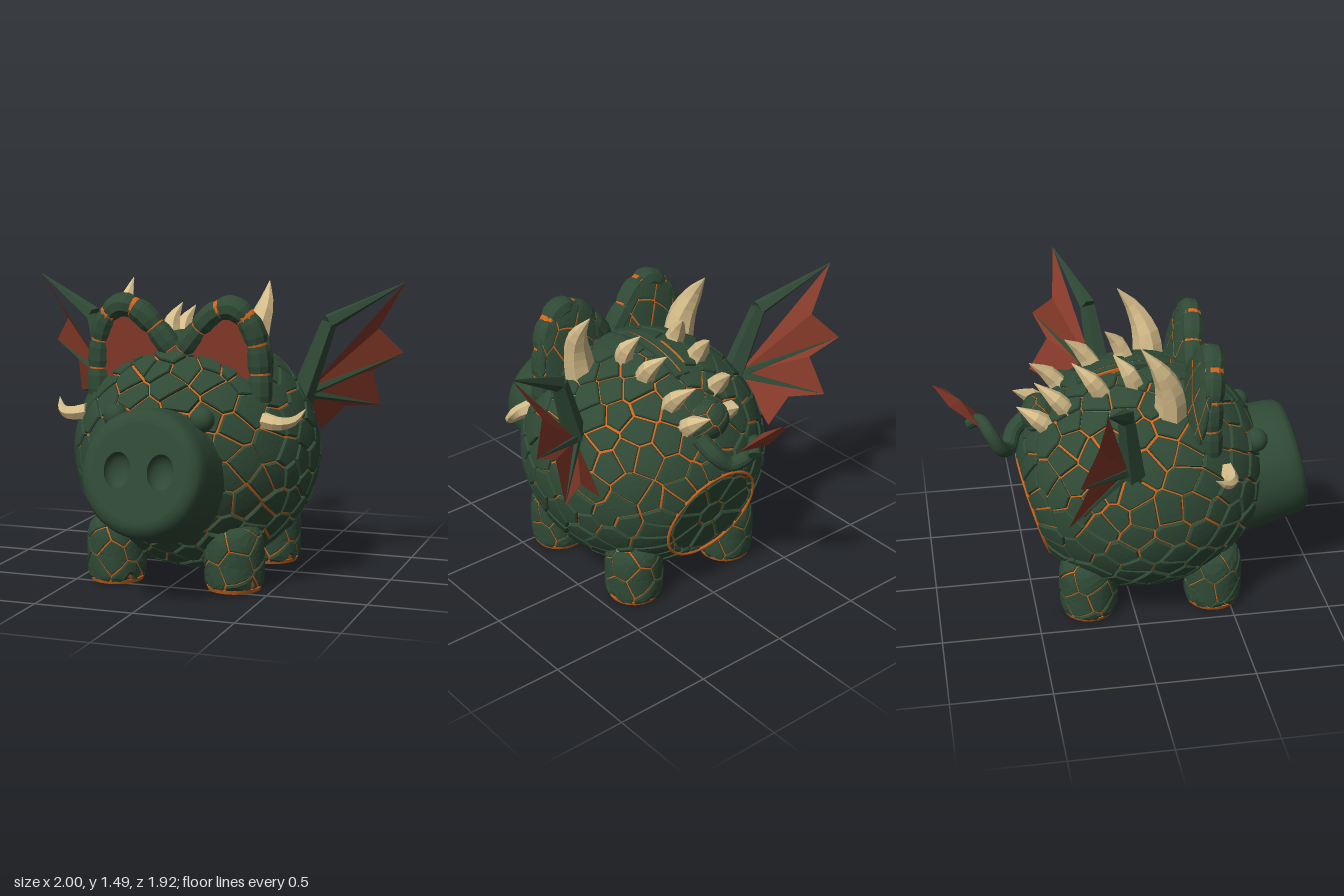
import * as THREE from 'three';
import { ConvexGeometry } from 'three/addons/geometries/ConvexGeometry.js';

const mat = (name, color, side = THREE.FrontSide) => Object.assign(new THREE.MeshStandardMaterial({ color, side }), { name });
const V = (x, y, z) => new THREE.Vector3(x, y, z);
let seed = 7;
const rand = () => (seed = (seed * 16807) % 2147483647) / 2147483647;

// Flat-shaded geometry from a list of triangle corners
function triGeometry(points) {
  const g = new THREE.BufferGeometry().setFromPoints(points);
  g.computeVertexNormals();
  return g;
}

// Tapered, capped sweep along a smooth path
function sweep(path, radii, sides = 7, steps = 8) {
  const curve = new THREE.CatmullRomCurve3(path);
  const f = curve.computeFrenetFrames(steps), rings = [], out = [];
  for (let i = 0; i <= steps; i++) {
    const c = curve.getPointAt(i / steps), t = (i / steps) * (radii.length - 1);
    const k = Math.min(Math.floor(t), radii.length - 2);
    const r = THREE.MathUtils.lerp(radii[k], radii[k + 1], t - k);
    rings.push(Array.from({ length: sides }, (_, j) => {
      const a = (j / sides) * Math.PI * 2;
      return c.clone().addScaledVector(f.normals[i], r * Math.cos(a)).addScaledVector(f.binormals[i], r * Math.sin(a));
    }));
  }
  const first = curve.getPoint(0), last = curve.getPoint(1);
  for (let j = 0; j < sides; j++) {
    const n = (j + 1) % sides;
    for (let i = 0; i < steps; i++) {
      const a = rings[i], b = rings[i + 1];
      out.push(a[j], a[n], b[n], a[j], b[n], b[j]);
    }
    out.push(first, rings[0][n], rings[0][j], last, rings[steps][j], rings[steps][n]);
  }
  return triGeometry(out);
}

// Evenly spread, jittered directions
function directions(n, jitter) {
  return Array.from({ length: n }, (_, i) => {
    const y = 1 - (2 * i + 1) / n, r = Math.sqrt(1 - y * y), a = i * 2.39996;
    const j = () => (rand() - 0.5) * jitter;
    return V(r * Math.cos(a) + j(), y + j(), r * Math.sin(a) + j()).normalize();
  });
}

// Cracked cells around a star-shaped surface, each a raised bevelled plate
function plates(seeds, surf, height, gap) {
  const out = [];
  for (const p of seeds) {
    const e1 = V(0, 1, 0).cross(p);
    if (e1.length() < 0.01) e1.set(1, 0, 0);
    e1.normalize();
    const e2 = p.clone().cross(e1), g = gap * (0.45 + rand() * 0.8), h = height * (0.75 + rand() * 0.5);
    let poly = [[-1.5, -1.5], [1.5, -1.5], [1.5, 1.5], [-1.5, 1.5]];
    for (const q of seeds) {
      if (q === p || q.dot(p) < -0.5) continue;
      const d = p.clone().sub(q), len = d.length();
      const side = ([u, v]) => d.dot(p) + u * d.dot(e1) + v * d.dot(e2) - g * len;
      const next = [];
      poly.forEach((a, i) => {
        const b = poly[(i + 1) % poly.length], sa = side(a), sb = side(b);
        if (sa >= 0) next.push(a);
        if (sa * sb < 0) next.push([0, 1].map(k => a[k] + (b[k] - a[k]) * sa / (sa - sb)));
      });
      poly = next;
    }
    if (poly.length < 3) continue;
    const c = [0, 1].map(k => poly.reduce((s, a) => s + a[k], 0) / poly.length), edge = [];
    poly.forEach((a, i) => {
      const b = poly[(i + 1) % poly.length];
      for (let t = 0; t < 3; t++) edge.push([0, 1].map(k => a[k] + (b[k] - a[k]) * t / 3));
    });
    const at = (e, s, lift) => surf(p.clone()
      .addScaledVector(e1, c[0] + (e[0] - c[0]) * s)
      .addScaledVector(e2, c[1] + (e[1] - c[1]) * s).normalize()).multiplyScalar(1 + lift);
    const rings = [[0.5, h], [0.9, h], [0.98, h * 0.65], [1, -0.005]].map(([s, l]) => edge.map(e => at(e, s, l)));
    const mid = at(c, 0, h);
    edge.forEach((_, j) => {
      const n = (j + 1) % edge.length;
      out.push(mid, rings[0][j], rings[0][n]);
      for (let i = 0; i < 3; i++) {
        const a = rings[i], b = rings[i + 1];
        out.push(a[j], b[j], b[n], a[j], b[n], a[n]);
      }
    });
  }
  return triGeometry(out);
}

function core(surf) {
  const g = new THREE.IcosahedronGeometry(1, 14), p = g.attributes.position;
  for (let i = 0; i < p.count; i++) {
    const v = surf(V().fromBufferAttribute(p, i).normalize());
    p.setXYZ(i, v.x, v.y, v.z);
  }
  g.computeVertexNormals();
  return g;
}

export function createModel() {
  const model = new THREE.Group();
  const green = mat('scale green', 0x304a36), glow = mat('ember orange', 0xd0651c), bone = mat('horn tan', 0xd6bd8a);
  const red = mat('membrane red', 0x863a29, THREE.DoubleSide);
  const greenOpen = mat('snout green', 0x304a36, THREE.DoubleSide);
  const add = (name, geo, m, parent = model) => {
    const mesh = new THREE.Mesh(geo, m);
    mesh.name = name;
    parent.add(mesh);
    return mesh;
  };
  const shell = (name, centre, seeds, surf, height, gap) => {
    const g = new THREE.Group();
    g.name = name;
    g.position.copy(centre);
    add(name + 'Embers', core(surf), glow, g);
    add(name + 'Scales', plates(seeds, surf, height, gap), green, g);
    model.add(g);
    return g;
  };

  // Round body, fuller at the face, with a flat disc on the lower rump
  const rump = V(0, -0.29, -0.957).normalize();
  const bodySurf = d => {
    const p = V(d.x * 0.61, d.y * 0.59, d.z * (d.z > 0 ? 0.65 : 0.61)), t = p.dot(rump);
    if (p.z > 0.6) p.multiplyScalar(0.6 / p.z);
    return t > 0.55 ? p.multiplyScalar(0.55 / t) : p;
  };
  const bodySeeds = directions(270, 0.13).filter(d => d.angleTo(rump) > 0.68);
  const side = V(1, 0, 0), up = side.clone().cross(rump);
  for (const [n, angle] of [[1, 0], [8, 0.26], [22, 0.58]])
    for (let i = 0; i < n; i++) {
      const a = (i / n) * Math.PI * 2;
      bodySeeds.push(rump.clone().multiplyScalar(Math.cos(angle))
        .addScaledVector(side, Math.sin(angle) * Math.cos(a)).addScaledVector(up, Math.sin(angle) * Math.sin(a)));
    }
  const bodyCentre = V(0, 0.635, 0.07);
  shell('body', bodyCentre, bodySeeds, bodySurf, 0.028, 0.0085);
  const ring = add('rumpSeam', new THREE.TorusGeometry(0.272, 0.008, 6, 48), glow);
  ring.position.copy(bodyCentre).addScaledVector(rump, 0.561);
  ring.quaternion.setFromUnitVectors(V(0, 0, 1), rump);

  // Slot along the top of the back
  const bent = (name, w, l, x, z, lift, m) => {
    const g = new THREE.BoxGeometry(w, 0.03, l, 1, 1, 12).translate(x, 0, z), p = g.attributes.position;
    for (let i = 0; i < p.count; i++) p.setY(i, p.getY(i) + lift + 0.62 + 0.61 * Math.sqrt(1 - ((p.getZ(i) - 0.07) / 0.63) ** 2));
    g.computeVertexNormals();
    add(name, g, m);
  };
  for (const s of [-1, 1]) bent('slotPanel', 0.04, 0.43, s * 0.025, -0.02, 0.008, green);
  bent('slotSeam', 0.01, 0.41, 0, -0.01, 0.004, glow);
  bent('slotEdge', 0.012, 0.18, -0.053, -0.09, 0.006, glow);

  // Tilted snout with two hollow nostrils
  const snout = new THREE.Group();
  snout.name = 'snout';
  snout.position.set(0, 0.645, 0.898);
  snout.rotation.x = -0.217;
  model.add(snout);
  const profile = [[0.33, -0.36], [0.325, -0.25], [0.31, -0.07], [0.3, -0.025], [0.282, 0], [0.255, 0.012], [0.235, 0.014]];
  add('snoutBarrel', new THREE.LatheGeometry(profile.map(([r, y]) => new THREE.Vector2(r, y)), 48).rotateX(Math.PI / 2), greenOpen, snout);
  const face = new THREE.Shape().absarc(0, 0, 0.236, 0, Math.PI * 2);
  for (const s of [-1, 1]) {
    face.holes.push(new THREE.Path().absellipse(s * 0.108, 0.008, 0.066, 0.085, 0, Math.PI * 2, true));
    add('nostril', new THREE.SphereGeometry(1, 24, 10, 0, Math.PI * 2, Math.PI / 2, Math.PI / 2)
      .rotateX(Math.PI / 2).scale(0.067, 0.086, 0.06).translate(s * 0.108, 0.008, 0.014), greenOpen, snout);
  }
  add('snoutFace', new THREE.ShapeGeometry(face, 32).translate(0, 0, 0.014), greenOpen, snout);

  // Feet: straight walls, domed top, crisp sole
  const footSurf = d => {
    const n = d.y > 0 ? 3.2 : 9;
    const r = (Math.hypot(d.x, d.z) / 0.143) ** n + (Math.abs(d.y) / 0.16) ** n;
    return d.clone().multiplyScalar(r ** (-1 / n));
  };
  const earSurf = d => V(d.x * 0.205, d.y * 0.295, d.z * 0.058);

  for (const s of [-1, 1]) {
    const M = list => list.map(([x, y, z]) => V(s * x, y, z));
    for (const z of [0.42, -0.23]) {
      shell(z > 0 ? 'frontLeg' : 'backLeg', V(s * 0.31, 0.174, z), directions(18, 0.3), footSurf, 0.05, 0.026);
      add('soleEmbers', new THREE.CylinderGeometry(0.138, 0.13, 0.02, 20).translate(s * 0.31, 0.013, z), glow);
      add('sole', new THREE.CylinderGeometry(0.112, 0.108, 0.012, 9).translate(s * 0.302, 0.006, z + 0.012), green);
    }
    add('eye', new THREE.SphereGeometry(0.06, 20, 14).translate(s * 0.22, 0.868, 0.645), green);

    // Ear: scaly back leaning forward, red lining and a rim of separate plates
    shell('ear', V(s * 0.26, 1.12, 0.325), directions(34, 0.25), earSurf, 0.04, 0.018).rotation.x = 0.16;
    const lining = M([[0.42, 0.95, 0], [0.4, 1.22, 0], [0.34, 1.34, 0], [0.21, 1.35, 0], [0.1, 1.25, 0], [0.01, 1.17, 0], [0.06, 1, 0]]);
    add('earLining', new THREE.ShapeGeometry(new THREE.Shape(lining)).translate(0, -1.12, 0).rotateX(0.08).translate(0, 1.12, 0.4), red);
    const rim = new THREE.CatmullRomCurve3(M([[0.42, 0.92, 0.365], [0.41, 1.16, 0.365], [0.37, 1.305, 0.38],
      [0.29, 1.38, 0.393], [0.2, 1.355, 0.39], [0.11, 1.265, 0.375], [0.03, 1.165, 0.37]]));
    add('earRimEmbers', sweep(rim.getPoints(12), [0.05, 0.054, 0.05], 10, 24), glow);
    for (let i = 0; i < 6; i++) {
      const part = [0.035, 0.35, 0.65, 0.965].map(t => rim.getPointAt((i + t) / 6));
      add('earRimPlate', sweep(part, [0.055, 0.062, 0.062, 0.062, 0.055], 9, 8), green);
    }

    // Horns and the double row of back spikes
    add('crownHorn', sweep(M([[0.31, 1.08, 0.185], [0.34, 1.24, 0.175], [0.37, 1.37, 0.12], [0.365, 1.49, 0.03]]), [0.085, 0.075, 0.045, 0.002]), bone);
    add('cheekHorn', sweep(M([[0.46, 0.85, 0.44], [0.54, 0.838, 0.45], [0.605, 0.85, 0.41], [0.645, 0.9, 0.35]]), [0.042, 0.036, 0.022, 0.002], 6), bone);
    for (const [x, y0, z0, y1, z1] of [[0.155, 1.17, 0.04, 1.36, -0.07], [0.155, 1.14, -0.12, 1.33, -0.275],
      [0.13, 1.04, -0.28, 1.225, -0.46], [0.11, 0.96, -0.38, 1.09, -0.55]])
      add('backSpike', sweep(M([[x, y0, z0], [x + 0.012, (y0 + y1) / 2, (z0 + z1) / 2 + 0.02], [x - 0.02, y1, z1]]), [0.055, 0.043, 0.002], 6, 6), bone);

    // Wing: bent leading bone, pleated membrane and ribs
    const root = V(s * 0.53, 0.92, -0.06);
    const hem = M([[1, 1.48, -0.225], [0.86, 1.24, -0.25], [0.97, 1.11, -0.35], [0.82, 1.02, -0.29],
      [0.845, 0.83, -0.39], [0.68, 0.83, -0.29], [0.555, 0.7, -0.28]]);
    const tris = [];
    for (let i = 0; i < hem.length - 1; i++) tris.push(root, hem[i], hem[i + 1]);
    add('wingMembrane', triGeometry(tris), red);
    const arm = M([[0.5, 0.86, -0.025], [0.64, 1.28, -0.085], [1, 1.48, -0.225]]);
    add('wingUpperArm', sweep([arm[0], arm[1]], [0.068, 0.043], 5, 2), green);
    add('wingForearm', sweep([arm[1], arm[2]], [0.043, 0.002], 5, 2), green);
    for (const i of [2, 4]) {
      const tip = root.clone().lerp(hem[i], 0.92);
      add('wingRib', sweep([root, tip], [0.026, 0.003], 5, 2), green);
    }
  }

  // Scaly bump, curled tail and spade tip
  shell('tailBase', V(0, 1.0, -0.43), directions(14, 0.3), d => V(d.x * 0.11, d.y * 0.095, d.z * 0.085), 0.06, 0.03);
  add('tail', sweep([V(0.09, 0.95, -0.47), V(0.06, 0.88, -0.555), V(-0.01, 0.82, -0.59), V(-0.09, 0.86, -0.635),
    V(-0.095, 0.95, -0.685), V(-0.03, 1, -0.73), V(0.01, 0.965, -0.78)], [0.045, 0.042, 0.038, 0.034, 0.03], 12, 48), green);
  add('tailSpade', new ConvexGeometry([V(0, 1.2, -0.955), V(0.09, 1.12, -0.88), V(0.07, 0.985, -0.735), V(-0.08, 0.985, -0.735),
    V(-0.095, 1.12, -0.88), V(0, 1.105, -0.82), V(0, 1.06, -0.865)]), red);
  return model;
}
